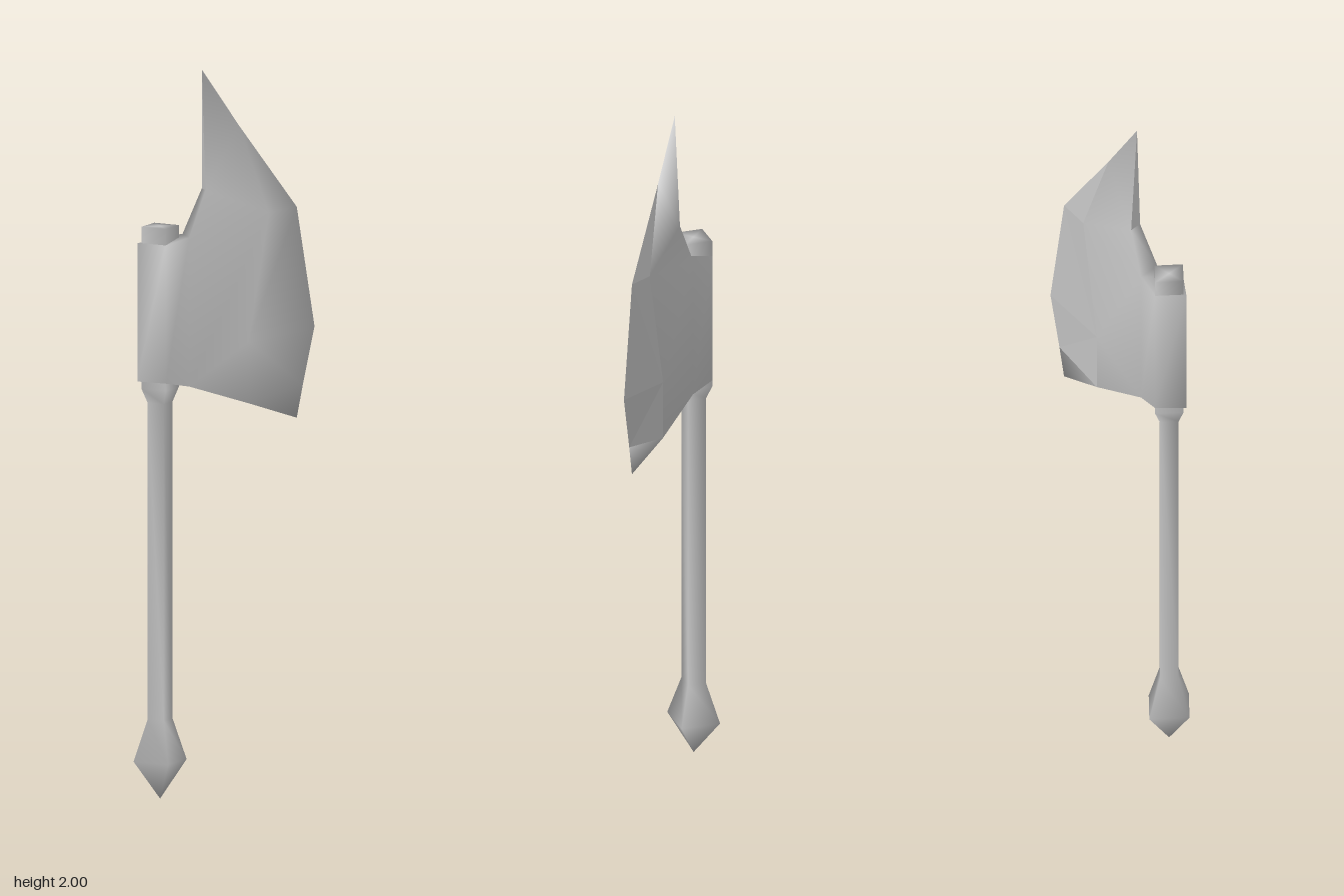
import * as THREE from 'three';
import { mergeVertices } from 'three/addons/utils/BufferGeometryUtils.js';

// Blade corners on the +z side: x, y, half thickness
const P = {
  backTop: [-0.247, 1.53, 0], backLow: [-0.247, 1.15, 0],
  sideTop: [-0.183, 1.53, 0.057], sideLow: [-0.183, 1.15, 0.057],
  neckTop: [-0.11, 1.545, 0.033], neckLow: [-0.11, 1.135, 0.033],
  notch: [-0.06, 1.67, 0.018], tip: [-0.065, 2.0, 0],
  upperEdge: [0.04, 1.841, 0], edgeTop: [0.203, 1.61, 0],
  edgeMid: [0.253, 1.28, 0], edgeLow: [0.22, 1.12, 0], heel: [0.203, 1.03, 0],
  ridgeTop: [0.12, 1.6, 0.014], ridgeMid: [0.06, 1.25, 0.025], ridgeLow: [0.06, 1.08, 0.025],
};
const mirror = ([x, y, z]) => [x, y, -z];

// Makes both cheeks from the named faces, plus a rim along the named outline
function cheeks(faces, rim) {
  const pos = [];
  const add = (pts) => {
    for (let i = 1; i < pts.length - 1; i++) pos.push(...pts[0], ...pts[i], ...pts[i + 1]);
  };
  for (const face of faces) {
    const pts = face.split(' ').map((n) => P[n]);
    add(pts);
    add(pts.map(mirror).reverse());
  }
  for (let i = 0; i < rim.length - 1; i++) {
    const a = P[rim[i]], b = P[rim[i + 1]];
    if (a[2] === 0 && b[2] === 0) continue;
    if (a[2] === 0) add([a, mirror(b), b]);
    else if (b[2] === 0) add([mirror(a), b, a]);
    else add([mirror(a), mirror(b), b, a]);
  }
  const g = new THREE.BufferGeometry();
  g.setAttribute('position', new THREE.Float32BufferAttribute(pos, 3));
  g.computeVertexNormals();
  return g;
}

// Joins all corners so the shading rolls over every edge
function smooth(geometry) {
  geometry.deleteAttribute('normal');
  geometry.deleteAttribute('uv');
  const g = mergeVertices(geometry);
  g.computeVertexNormals();
  return g;
}

// Gives the rear cutting bevel flat facets
function flattenRearBevel(geometry) {
  const g = geometry.toNonIndexed();
  const { position, normal } = g.attributes;
  const tri = new THREE.Triangle(), mid = new THREE.Vector3(), n = new THREE.Vector3();
  for (let i = 0; i < position.count; i += 3) {
    tri.setFromAttributeAndIndices(position, i, i + 1, i + 2);
    tri.getMidpoint(mid);
    tri.getNormal(n);
    if (n.z > -0.5 || mid.x < 0.1 || mid.y < 1.12) continue;
    for (let k = 0; k < 3; k++) normal.setXYZ(i + k, n.x, n.y, n.z);
  }
  return g;
}

export function createModel() {
  const group = new THREE.Group();
  const steel = new THREE.MeshStandardMaterial({ name: 'light grey steel', color: 0xc4c4c4 });
  const part = (name, geometry) => {
    const mesh = new THREE.Mesh(geometry, steel);
    mesh.name = name;
    group.add(mesh);
    return mesh;
  };

  // Four-sided shaft with a pointed pommel and a wider end inside the socket
  const profile = [
    [0, 0], [0.075, 0.105], [0.035, 0.22], [0.035, 1.09],
    [0.053, 1.13], [0.053, 1.575], [0, 1.575],
  ].map(([r, y]) => new THREE.Vector2(r, y));
  const handle = part('handle', smooth(new THREE.LatheGeometry(profile, 4)));
  handle.position.x = -0.183;
  handle.scale.z = 1.06;

  // Socket and blade in one smooth skin
  const head = cheeks([
    'backLow sideLow sideTop backTop',
    'sideLow neckLow neckTop sideTop',
    'neckLow ridgeLow ridgeMid',
    'neckLow ridgeMid ridgeTop neckTop',
    'neckTop ridgeTop notch',
    'notch ridgeTop upperEdge',
    'notch upperEdge tip',
    'ridgeTop edgeTop upperEdge',
    'ridgeMid edgeTop ridgeTop',
    'ridgeMid edgeMid edgeTop',
    'ridgeMid ridgeLow edgeLow',
    'ridgeMid edgeLow edgeMid',
    'ridgeLow heel edgeLow',
  ], ['notch', 'neckTop', 'sideTop', 'backTop', 'backLow', 'sideLow', 'neckLow', 'ridgeLow', 'heel']);
  part('axeHead', flattenRearBevel(smooth(head)));

  // Narrow rear face of the upper point
  part('pointBack', cheeks([], ['tip', 'notch']));

  return group;
}
